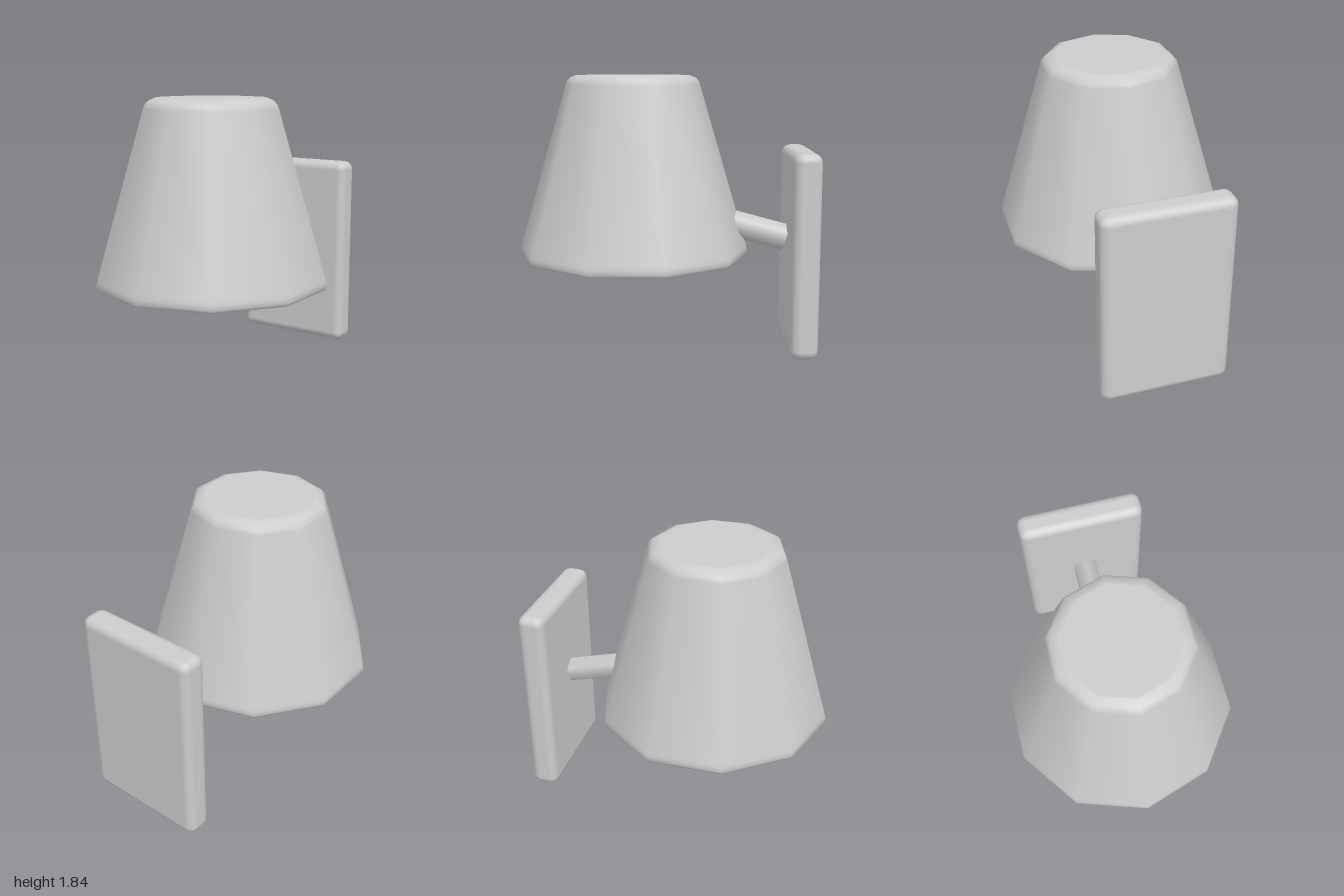
import * as THREE from 'three';
import { RoundedBoxGeometry } from 'three/addons/geometries/RoundedBoxGeometry.js';

export function createModel() {
  const model = new THREE.Group();
  model.name = 'wallLamp';
  const grey = new THREE.MeshStandardMaterial({ color: 0xcccccc });
  grey.name = 'light grey';

  const add = (name, geometry, x, y, z) => {
    const mesh = new THREE.Mesh(geometry, grey);
    mesh.name = name;
    mesh.position.set(x, y, z);
    model.add(mesh);
    return mesh;
  };

  // Ten-sided tapered shade, closed at both ends, with softened rims.
  // Tight extra rings keep the caps and sides evenly shaded.
  const profile = [
    [0, 0.612], [0.72, 0.612], [0.738, 0.612], [0.765, 0.62], [0.777, 0.64],
    [0.773, 0.668], [0.767, 0.69], [0.449, 1.77], [0.442, 1.79],
    [0.42, 1.817], [0.375, 1.835], [0.36, 1.835], [0, 1.835],
  ].map(([r, y]) => new THREE.Vector2(r, y));
  add('shade', new THREE.LatheGeometry(profile, 10), 0, 0, 0.22);

  // Faceted bulb, mostly inside the shade, with one corner pointing down
  const bulb = new THREE.IcosahedronGeometry(0.3, 1);
  bulb.rotateZ(-Math.atan(2 / (1 + Math.sqrt(5))));
  bulb.rotateY(-Math.PI / 2);
  add('bulb', bulb, 0, 0.855, 0.22);

  // Six-sided arm rising from the wall plate into the shade
  const arm = add('arm', new THREE.CylinderGeometry(0.09, 0.09, 0.5, 6), 0, 0.807, -0.571);
  arm.rotation.x = THREE.MathUtils.degToRad(75);

  // Rounded wall plate
  add('wallPlate', new RoundedBoxGeometry(0.85, 1.345, 0.18, 2, 0.058), 0, 0.6725, -0.91);

  return model;
}
